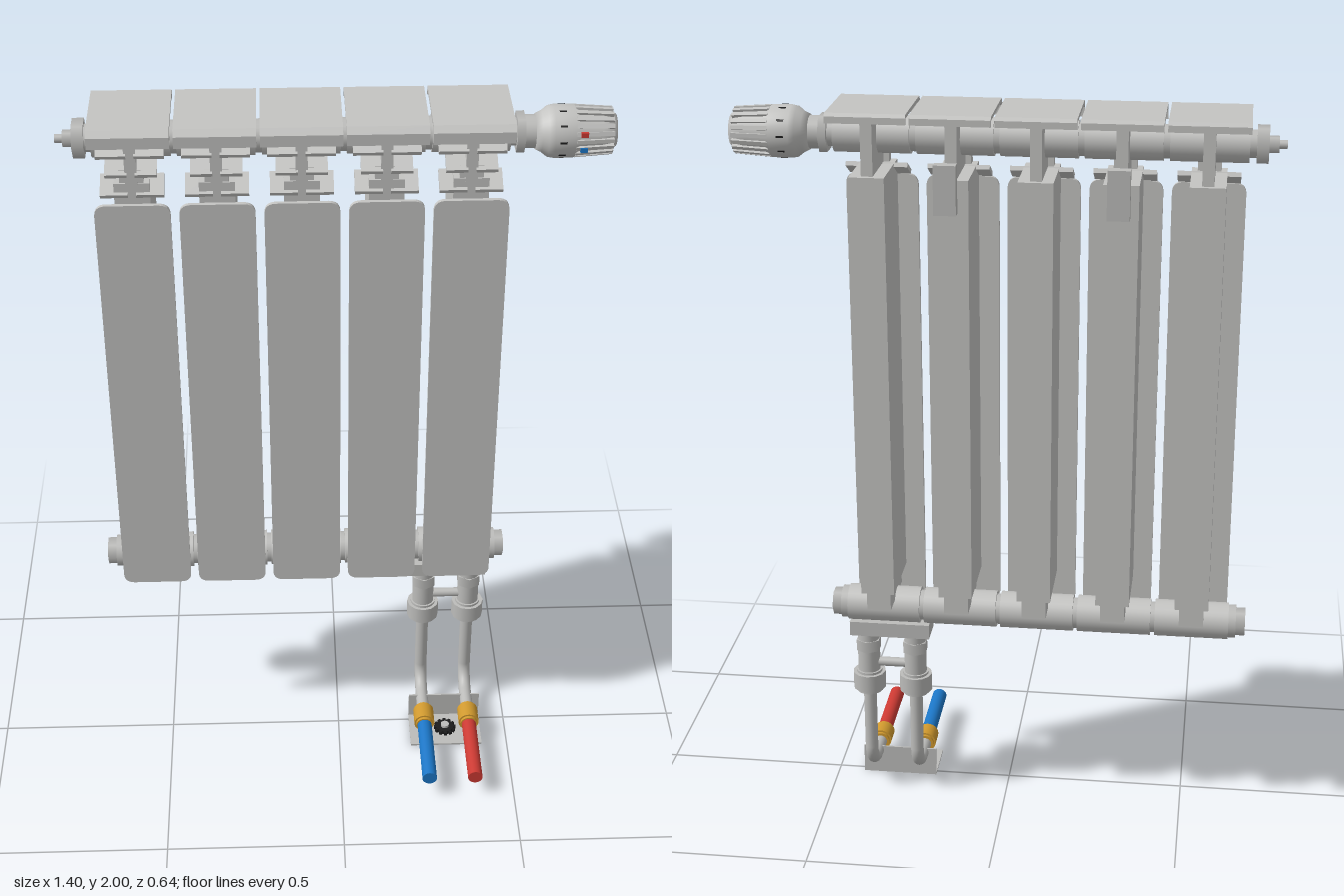
import * as THREE from 'three';

const mat = (name, color) => Object.assign(new THREE.MeshStandardMaterial({ color }), { name });

export function createModel() {
  const root = new THREE.Group();
  root.name = 'radiator';
  const paint = mat('grey enamel', 0xc4c4c2);
  const metal = mat('satin metal', 0xbcbcba);
  const brass = mat('brass', 0xd0992e);
  const blue = mat('blue', 0x1c76c6);
  const red = mat('red', 0xcc3a33);
  const black = mat('black', 0x1c1c1c);

  const add = (parent, name, geo, m, x = 0, y = 0, z = 0) => {
    const mesh = new THREE.Mesh(geo, m);
    mesh.name = name;
    mesh.position.set(x, y, z);
    parent.add(mesh);
    return mesh;
  };
  const box = (p, name, m, w, h, d, x, y, z) => add(p, name, new THREE.BoxGeometry(w, h, d), m, x, y, z);
  // Cylinder running from a to b along one axis
  const rod = (p, name, m, axis, r, a, b, u, v, sides = 28) => {
    const geo = new THREE.CylinderGeometry(r, r, b - a, sides);
    const c = (a + b) / 2;
    if (axis === 'x') return add(p, name, geo.rotateZ(-Math.PI / 2), m, c, u, v);
    if (axis === 'z') return add(p, name, geo.rotateX(Math.PI / 2), m, u, v, c);
    return add(p, name, geo, m, u, c, v);
  };

  const Z = -0.105, TOP = 1.925, BOTTOM = 0.6;

  // Rounded front panel outline
  const w = 0.095, r = 0.03, y0 = 0.575, y1 = 1.795;
  const outline = new THREE.Shape();
  outline.moveTo(-w + r, y0);
  outline.lineTo(w - r, y0);
  outline.quadraticCurveTo(w, y0, w, y0 + r);
  outline.lineTo(w, y1 - r);
  outline.quadraticCurveTo(w, y1, w - r, y1);
  outline.lineTo(-w + r, y1);
  outline.quadraticCurveTo(-w, y1, -w, y1 - r);
  outline.lineTo(-w, y0 + r);
  outline.quadraticCurveTo(-w, y0, -w + r, y0);
  const panelGeo = new THREE.ExtrudeGeometry(outline, { depth: 0.011, bevelEnabled: false, curveSegments: 8 });

  // Cover profile drawn in (-z, y), extruded across the section
  const cover = new THREE.Shape([
    [-0.017, 1.955], [-0.017, 1.985], [-0.002, 2], [0.215, 2], [0.223, 1.992], [0.223, 1.975],
    [0.215, 1.975], [0.212, 1.99], [0.002, 1.99], [-0.009, 1.98], [-0.009, 1.955],
  ].map(([a, b]) => new THREE.Vector2(a, b)));
  const coverGeo = new THREE.ExtrudeGeometry(cover, { depth: 0.203, bevelEnabled: false });
  coverGeo.translate(0, 0, -0.1015).rotateY(Math.PI / 2);

  // Five identical sections
  for (let i = 0; i < 5; i++) {
    const s = new THREE.Group();
    s.name = 'section' + (i + 1);
    s.position.x = -0.515 + i * 0.212;
    root.add(s);
    add(s, 'frontPanel', panelGeo, paint);
    add(s, 'topCover', coverGeo, paint);
    box(s, 'column', paint, 0.09, 1.155, 0.202, 0, 1.2625, -0.122);
    box(s, 'lowerNeck', paint, 0.065, 0.06, 0.18, 0, 0.66, -0.12);
    box(s, 'upperWeb', paint, 0.03, 0.16, 0.19, 0, 1.91, -0.115);
    rod(s, 'topCollector', paint, 'x', 0.048, -0.098, 0.098, TOP, Z);
    rod(s, 'bottomCollector', paint, 'x', 0.05, -0.1, 0.1, BOTTOM, Z);
    // Sloping air vanes either side of the web
    [[1.822, 0.16], [1.878, 0.13], [1.93, 0.17]].forEach(([y, width]) => {
      for (const side of [-1, 1]) {
        const v = box(s, 'airVane', paint, width / 2 - 0.01, 0.012, 0.065, side * (width / 4 + 0.005), y, -0.045);
        v.rotation.x = 0.5;
      }
    });
    box(s, 'vanePost', paint, 0.06, 0.06, 0.03, 0, 1.845, -0.04);
  }
  // Seals joining the sections
  for (const y of [TOP, BOTTOM]) rod(root, 'collectorCore', metal, 'x', 0.042, -0.61, 0.43, y, Z);

  // End plugs and air vent
  for (const [a, b] of [[-0.635, -0.612], [0.43, 0.452]]) rod(root, 'plugFlange', metal, 'x', 0.045, a, b, BOTTOM, Z);
  for (const [a, b] of [[-0.66, -0.635], [0.452, 0.477]]) rod(root, 'plugHex', metal, 'x', 0.038, a, b, BOTTOM, Z, 6);
  rod(root, 'ventFlange', metal, 'x', 0.035, -0.635, -0.612, TOP, Z);
  rod(root, 'ventHex', metal, 'x', 0.05, -0.66, -0.63, TOP, Z, 6);
  rod(root, 'ventNut', metal, 'x', 0.022, -0.685, -0.66, TOP, Z, 6);
  rod(root, 'ventTip', metal, 'x', 0.011, -0.705, -0.685, TOP, Z);

  // Thermostatic valve head
  const head = new THREE.Group();
  head.name = 'thermostatHead';
  head.position.set(0, TOP, Z);
  root.add(head);
  rod(head, 'valveNeck', metal, 'x', 0.035, 0.425, 0.5, 0, 0);
  rod(head, 'valveNut', metal, 'x', 0.052, 0.447, 0.468, 0, 0, 6);
  rod(head, 'valveCollar', metal, 'x', 0.042, 0.468, 0.5, 0, 0);
  const profile = [[0, 0.495], [0.045, 0.495], [0.052, 0.51], [0.064, 0.525], [0.067, 0.54], [0.067, 0.59],
    [0.06, 0.6], [0.056, 0.66], [0.05, 0.685], [0.04, 0.698], [0, 0.7]];
  const headGeo = new THREE.LatheGeometry(profile.map(([a, b]) => new THREE.Vector2(a, b)), 36);
  add(head, 'headBody', headGeo.rotateZ(-Math.PI / 2), paint);
  for (let i = 0; i < 20; i++) {
    const spoke = new THREE.Group();
    spoke.name = 'headSpoke';
    spoke.rotation.x = i * Math.PI / 10;
    head.add(spoke);
    box(spoke, 'gripRib', paint, 0.095, 0.014, 0.01, 0.64, 0.056, 0).rotation.z = -0.07;
    if (i % 2) box(spoke, 'headSlot', black, 0.018, 0.004, 0.005, 0.56, 0.066, 0);
  }
  box(head, 'redMark', red, 0.018, 0.012, 0.008, 0.612, 0.02, 0.063);
  box(head, 'blueMark', blue, 0.018, 0.012, 0.008, 0.612, -0.022, 0.063);

  // Wall brackets
  for (const x of [-0.303, 0.121]) {
    box(root, 'bracketArm', metal, 0.022, 0.022, 0.2, x, 1.848, -0.2);
    box(root, 'bracketPlate', metal, 0.056, 0.125, 0.027, x, 1.84, -0.311);
  }

  // Twin connection valve
  box(root, 'valveBlock', metal, 0.222, 0.042, 0.084, 0.318, 0.535, Z);
  rod(root, 'valveBridge', metal, 'x', 0.013, 0.26, 0.38, 0.415, Z);
  for (const [x, tint, name] of [[0.253, blue, 'blue'], [0.385, red, 'red']]) {
    rod(root, 'valveTail', metal, 'y', 0.03, 0.485, 0.515, x, Z);
    rod(root, 'valveHex', metal, 'y', 0.036, 0.455, 0.488, x, Z, 6);
    rod(root, 'valveBody', metal, 'y', 0.031, 0.38, 0.457, x, Z);
    rod(root, 'pipeNut', metal, 'y', 0.046, 0.335, 0.385, x, Z, 12);
    rod(root, 'pipeNutEnd', metal, 'y', 0.036, 0.325, 0.392, x, Z);
    // Pipe drops, then bends forward
    const path = new THREE.CurvePath();
    const P = (y, z) => new THREE.Vector3(x, y, z);
    path.add(new THREE.LineCurve3(P(0.34, Z), P(0.14, Z)));
    path.add(new THREE.CubicBezierCurve3(P(0.14, Z), P(0.104, Z), P(0.073, Z + 0.031), P(0.073, Z + 0.067)));
    path.add(new THREE.LineCurve3(P(0.073, Z + 0.067), P(0.073, 0.04)));
    add(root, 'bentPipe', new THREE.TubeGeometry(path, 48, 0.018, 18), metal);
    rod(root, 'brassCollar', brass, 'z', 0.03, 0.038, 0.093, x, 0.073);
    rod(root, 'brassCollarEdge', brass, 'z', 0.025, 0.03, 0.101, x, 0.073);
    rod(root, name + 'Pipe', tint, 'z', 0.021, 0.095, 0.32, x, 0.073);
  }

  // Floor bracket with a dark toothed screw
  box(root, 'floorPlate', metal, 0.212, 0.005, 0.128, 0.319, 0.0025, 0.048);
  box(root, 'floorUpright', metal, 0.212, 0.085, 0.005, 0.319, 0.0425, -0.0165);
  rod(root, 'screwBase', black, 'y', 0.026, 0.004, 0.016, 0.319, 0.047);
  rod(root, 'screwCap', metal, 'y', 0.012, 0.016, 0.024, 0.319, 0.047);
  for (let i = 0; i < 6; i++) {
    box(root, 'screwTooth', black, 0.064, 0.01, 0.008, 0.319, 0.01, 0.047).rotation.y = i * Math.PI / 6;
  }
  return root;
}
